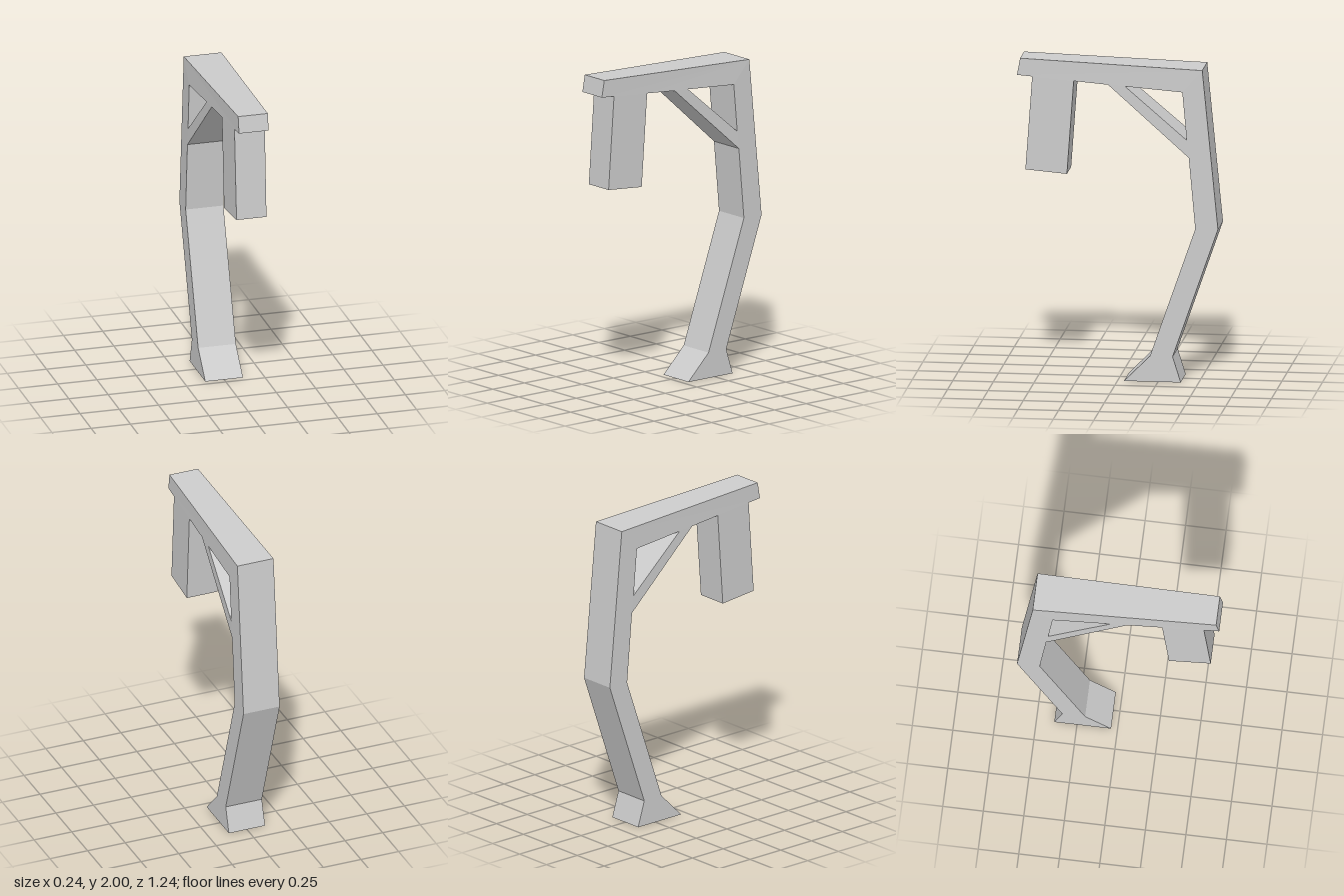
import * as THREE from 'three';

const HALF = 0.12;      // half width of post and foot
const TIP = 0.094;      // half width at the free end of the beam
const TAPER_START = -0.4, TAPER_END = 0.62;

// Half width of the tapered upper parts at depth z
function taperedHalf(z) {
  const t = THREE.MathUtils.clamp((z - TAPER_START) / (TAPER_END - TAPER_START), 0, 1);
  return THREE.MathUtils.lerp(HALF, TIP, t);
}

// Side profile of [z, y] points extruded across x, its width given by halfAt(z)
function slab(name, points, halfAt, material) {
  const shape = new THREE.Shape(points.map(([z, y]) => new THREE.Vector2(z, y)));
  const geometry = new THREE.ExtrudeGeometry(shape, { depth: 1, bevelEnabled: false });
  geometry.translate(0, 0, -0.5).rotateY(-Math.PI / 2);
  const p = geometry.attributes.position;
  for (let i = 0; i < p.count; i++) p.setX(i, Math.sign(p.getX(i)) * halfAt(p.getZ(i)));
  geometry.computeVertexNormals();
  const mesh = new THREE.Mesh(geometry, material);
  mesh.name = name;
  return mesh;
}

export function createModel() {
  const group = new THREE.Group();
  group.name = 'bracketArm';
  const material = new THREE.MeshStandardMaterial({ color: 0xcccccc, flatShading: true });
  const full = () => HALF;

  // Corners shared by neighbouring parts
  const ankleBack = [-0.34, 0.16], ankleFront = [-0.2, 0.16];
  const elbowOuter = [-0.523, 1.96], elbowInner = [-0.4, 1.82];
  const braceLow = [-0.44, 1.41], braceLowTop = [-0.427, 1.52];
  const braceHigh = [0.06, 1.852], braceHighBack = [-0.045, 1.845];
  const blockFront = [0.53, 1.888], blockBack = [0.273, 1.868];

  group.add(
    // Flared foot
    slab('foot', [[-0.39, 0], [-0.04, 0], ankleFront, ankleBack], full, material),
    // Bent post
    slab('post', [ankleBack, ankleFront, [-0.48, 0.965], braceLow, braceLowTop,
      elbowInner, elbowOuter, [-0.62, 0.965]], full, material),
    // Tapered overhanging beam
    slab('beam', [elbowOuter, elbowInner, braceHighBack, braceHigh, blockBack, blockFront,
      [0.624, 1.895], [0.605, 2]], taperedHalf, material),
    // Diagonal brace
    slab('brace', [braceLow, braceHigh, braceHighBack, braceLowTop], taperedHalf, material),
    // Block hanging from the beam
    slab('hangingBlock', [blockFront, blockBack, [0.315, 1.284], [0.572, 1.304]],
      taperedHalf, material),
  );
  return group;
}
